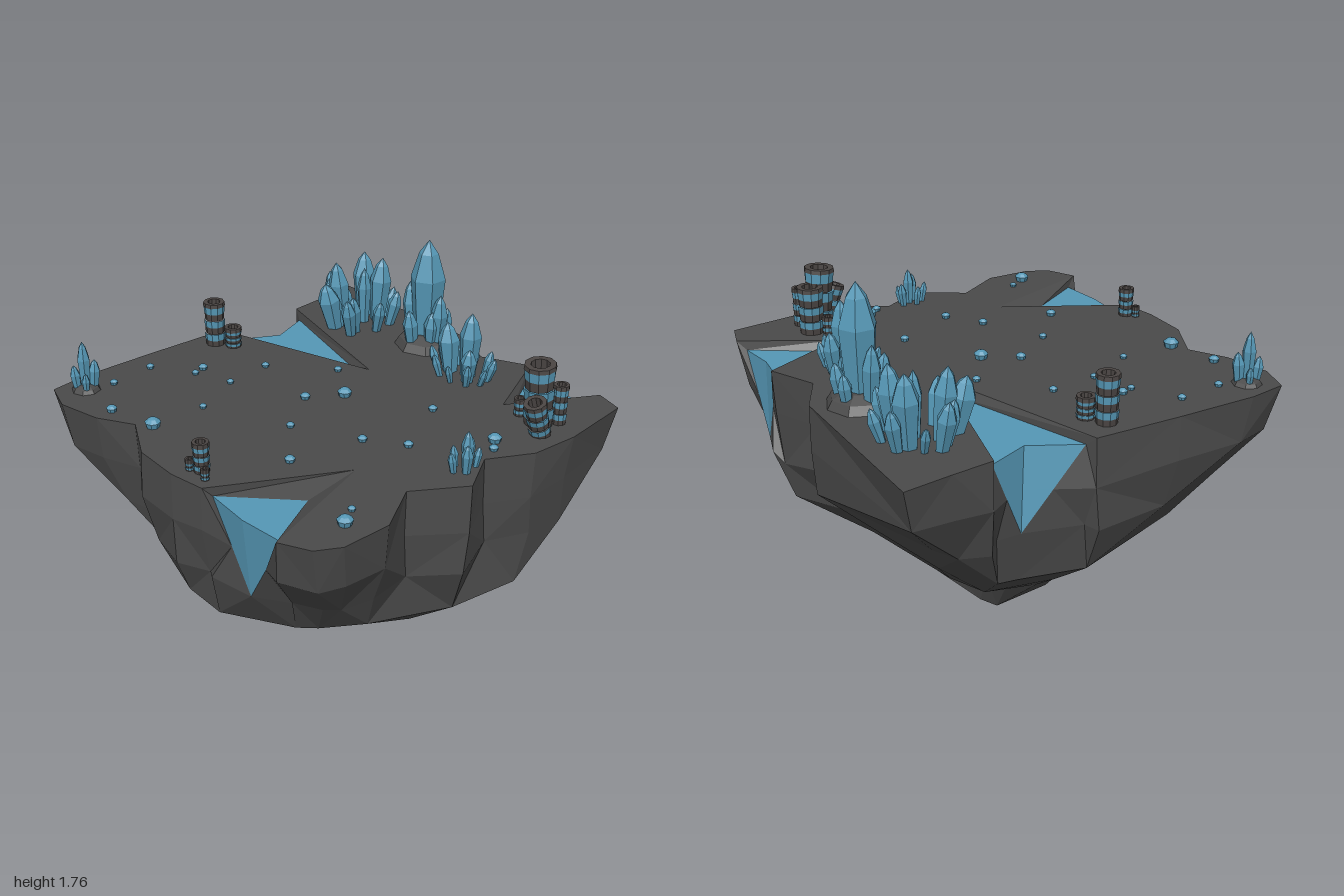
import * as THREE from 'three';

const TOP = 1.2, WATER_Y = 1.155;
const rock = new THREE.MeshStandardMaterial({ color: 0x4a4a4a });
const blue = new THREE.MeshStandardMaterial({ color: 0x5597b5 });
const pipeDark = new THREE.MeshStandardMaterial({ color: 0x4a4543 });
rock.name = 'rock'; blue.name = 'crystalBlue'; pipeDark.name = 'pipeDark';

// Pools: rim corners, rim tip, water edge, inner water tip, foot of the fall
const backPool = { rim: [[.37, -.98], [.8, -.99]], tip: [.565, -.57],
  edge: [[.4, -.945], [.585, -.925], [.77, -.95]], inner: [.565, -.635], foot: [.6, .75, -.93] };
const frontPool = { rim: [[.77, .96], [.25, .94]], tip: [.56, .35],
  edge: [[.73, .9], [.5, .92], [.27, .9]], inner: [.56, .62], foot: [.5, .757, .89] };
const leftPool = { rim: [[-.97, -.08], [-.93, -.55]], tip: [-.12, -.345],
  edge: [[-.92, -.1], [-.8, -.33], [-.88, -.53]], inner: [-.2, -.345], foot: [-.85, .77, -.37] };
const pools = [backPool, frontPool, leftPool];

// Outline of the plateau as x, z; a third value deepens a valley below
const outline = [[-.98, -.98], [-.07, -.98], [.14, -.87, .88], backPool, [.94, -.95], [.985, -.58],
  [.97, -.34], [.86, -.13, .87], [.98, .07], [.83, .31, .88], [.97, .54], [.97, .78], [.91, .89],
  frontPool, [.07, .97], [-.17, .96], [-.4, .84, .88], [-.57, .94], [-.79, .99], [-.95, .94],
  [-.98, .75], [-.98, .35], leftPool, [-.95, -.75]];

// Rock rings downward: y, rx, rz, cx, cz, roundness, columns merged, jitter
const rings = [[.98, 1.005, 1, 0, 0, .2, 1, .015], [.74, .95, .95, 0, 0, .75, 1, .03],
  [.53, .87, .87, 0, 0, 1, 2, .035], [.34, .62, .63, -.02, -.01, 1, 3, .04],
  [.19, .41, .41, -.03, .03, 1, 3, .04], [.07, .27, .29, -.05, -.03, 1, 4, .02],
  [0, 0, 0, -.09, .08, 1, 37, 0]];

let seed = 7;
const rand = () => (seed = (seed * 16807) % 2147483647) / 2147483647 * 2 - 1;
const v = (x, y, z) => new THREE.Vector3(x, y, z);

function add(parent, name, geometry, material) {
  const flat = geometry.index ? geometry.toNonIndexed() : geometry;
  flat.computeVertexNormals();
  const mesh = new THREE.Mesh(flat, material);
  mesh.name = name;
  parent.add(mesh);
  return mesh;
}
const fromTriangles = points => new THREE.BufferGeometry().setFromPoints(points);
const lathe = (profile, sides) =>
  new THREE.LatheGeometry(profile.map(p => new THREE.Vector2(...p)), sides);

function buildIsland(group) {
  // Columns around the edge, from which every ring is made
  const columns = [], capPoints = [];
  for (const o of outline) {
    if (Array.isArray(o)) {
      columns.push({ p: o, y: TOP });
      capPoints.push(o);
    } else {
      columns.push({ p: o.rim[0], y: TOP });
      o.edge.forEach((p, i) => columns.push({ p, y: WATER_Y, pool: o, middle: i === 1 }));
      columns.push({ p: o.rim[1], y: TOP });
      capPoints.push(o.rim[0], o.tip, o.rim[1]);
    }
  }
  const grid = [columns.map(c => ({ pos: v(c.p[0], c.y, c.p[1]), wet: !!c.pool }))];
  rings.forEach(([y, rx, rz, cx, cz, round, step, jitter], k) => {
    const row = columns.map((c, i) => {
      const [x, z, valley = 1] = c.p, len = Math.hypot(x, z);
      const dx = x / len, dz = z / len;
      let r = THREE.MathUtils.lerp(len, 1.02 * valley, round);
      // The back corner on the left bulges
      if ((k === 1 || k === 2) && x > 0) r *= 1 + .2 * Math.max(0, -dx * dz);
      const pos = v(cx + dx * r * rx + rand() * jitter, y + rand() * jitter, cz + dz * r * rz + rand() * jitter);
      if (k === 5) pos.y += .15 * pos.x;
      let wet = false;
      if (c.pool && k === 0) { pos.copy(grid[0][i].pos).lerp(v(...c.pool.foot), .5); wet = true; }
      if (c.middle && k === 1) { pos.set(...c.pool.foot); wet = true; }
      return { pos, wet };
    });
    grid.push(row.map((_, i) => row[i - i % step]));
  });

  const stone = [], falls = [], water = [];
  const face = (...t) => {
    if (new Set(t).size === 3) (t.every(q => q.wet) ? falls : stone).push(...t.map(q => q.pos));
  };
  for (let k = 0; k + 1 < grid.length; k++) {
    for (let i = 0; i < columns.length; i++) {
      const j = (i + 1) % columns.length;
      const a = grid[k][i], b = grid[k][j], c = grid[k + 1][i], d = grid[k + 1][j];
      if (a.wet && d.wet || !(b.wet && c.wet) && (i + k) % 2) { face(a, b, d); face(a, d, c); }
      else { face(a, b, c); face(b, d, c); }
    }
  }
  // Pool surfaces and their sloping banks
  for (const o of pools) {
    const [r1, r2, tip] = [...o.rim, o.tip].map(p => v(p[0], TOP, p[1]));
    const [a, m, b, inner] = [...o.edge, o.inner].map(p => v(p[0], WATER_Y, p[1]));
    water.push(inner, b, m, inner, m, a);
    stone.push(r1, tip, inner, r1, inner, a, tip, r2, b, tip, b, inner);
  }
  add(group, 'rockBody', fromTriangles(stone), rock);
  add(group, 'waterfalls', fromTriangles(falls), blue);
  add(group, 'poolWater', fromTriangles(water), blue);
  const shape = new THREE.Shape(capPoints.map(p => new THREE.Vector2(p[0], -p[1])));
  add(group, 'plateau', new THREE.ShapeGeometry(shape).rotateX(-Math.PI / 2).translate(0, TOP, 0), rock);
}

// Crystal clusters: main crystals as x, z, height, radius, with a ring of small ones around them
const clusters = [
  { name: 'leftCrystals', centre: [-.58, -.72], ring: { n: 8, rx: .19, rz: .19, h: .17 }, main: [
    [-.67, -.81, .34, .062], [-.54, -.82, .34, .058], [-.67, -.61, .33, .055], [-.57, -.72, .3, .038],
    [-.63, -.5, .25, .06], [-.46, -.5, .21, .04], [-.79, -.67, .23, .045]] },
  { name: 'rightCrystals', centre: [.22, -.65], ring: { n: 10, rx: .18, rz: .13, h: .13 }, main: [
    [.12, -.64, .25, .055], [.16, -.77, .22, .042], [.25, -.67, .33, .055], [.31, -.6, .18, .04]] },
  { name: 'tallCrystals', centre: [-.155, -.77], mound: .16, ring: { n: 5, rx: .09, rz: .12, h: .18 }, main: [
    [-.155, -.77, .56, .09], [-.27, -.76, .31, .045], [-.05, -.76, .3, .045]] },
  { name: 'edgeCrystals', centre: [.85, -.01], ring: { n: 5, rx: .05, rz: .08, h: .13 }, main: [
    [.86, -.02, .18, .028]] },
  { name: 'cornerCrystals', centre: [-.85, .82], mound: .07, ring: { n: 4, rx: .05, rz: .05, h: .12 }, main: [
    [-.85, .82, .25, .032]] },
];
function buildClusters(group) {
  for (const { name, centre: [cx, cz], mound, ring, main } of clusters) {
    const cluster = new THREE.Group();
    cluster.name = name;
    group.add(cluster);
    if (mound) {
      const profile = [[mound, 0], [mound * .85, mound * .25], [mound * .5, mound * .42], [0, mound * .45]];
      add(cluster, 'mound', lathe(profile, 8), rock).position.set(cx, TOP, cz);
    }
    const small = Array.from({ length: ring.n }, (_, i) => {
      const angle = (i + .3) / ring.n * Math.PI * 2, h = ring.h * (1 + .3 * rand());
      return [cx + Math.cos(angle) * ring.rx, cz + Math.sin(angle) * ring.rz, h, h * .19];
    });
    // Each crystal leans away from the centre
    for (const [x, z, h, r] of [...main, ...small]) {
      const base = v(cx + (x - cx) * .75, TOP - .01, cz + (z - cz) * .75);
      const axis = v(x, TOP + h, z).sub(base), len = axis.length();
      const profile = [[r * .65, 0], [r, len * .65], [r * .55, len * .88], [0, len]];
      const crystal = add(cluster, 'crystal', lathe(profile, 6), blue);
      crystal.position.copy(base);
      crystal.quaternion.setFromUnitVectors(v(0, 1, 0), axis.normalize());
    }
  }
}

// Small gems scattered over the plateau: x, z, radius
const gems = [[.01, -.07, .035], [-.09, .09, .025], [-.48, .02, .02], [-.21, -.22, .02], [.39, -.28, .022],
  [.78, -.28, .033], [.83, -.22, .022], [.56, .04, .023], [.39, .16, .023], [-.66, .27, .023],
  [-.64, .33, .018], [-.45, .26, .018], [-.84, .46, .02], [-.33, .51, .018], [.08, .32, .02], [.32, .52, .025],
  [.79, .58, .018], [.85, .67, .036], [-.33, .79, .038], [-.58, .85, .026], [-.81, .69, .02]];
function buildGems(group) {
  for (const [x, z, r] of gems) {
    const profile = [[r * .8, 0], [r, r * .7], [r * .55, r * 1.1], [0, r * 1.25]];
    add(group, 'gem', lathe(profile, 8), blue).position.set(x, TOP, z);
  }
}

// Hollow banded pipes
function buildPipe(group, x, z, h, r, leanZ = 0) {
  const pipe = new THREE.Group();
  pipe.name = 'pipe';
  const n = h > .1 ? 6 : 4, s = (h - .02) / n;
  for (let i = 0; i < n; i++) {
    const isBlue = i % 2 === 1, w = isBlue ? r : r * .94;
    add(pipe, isBlue ? 'blueBand' : 'darkBand', lathe([[w * .96, i * s], [w, (i + 1) * s]], 10), isBlue ? blue : pipeDark);
  }
  const mouth = [[r * .9, h - .02], [r * 1.04, h - .02], [r, h], [r * .6, h], [r * .55, h * .6], [0, h * .6]];
  add(pipe, 'rim', lathe(mouth, 10), pipeDark);
  pipe.position.set(x, TOP - .005, z);
  pipe.quaternion.setFromUnitVectors(v(0, 1, 0), v(0, h, leanZ).normalize());
  group.add(pipe);
}
function buildPipes(group) {
  // Back left stand
  buildPipe(group, .79, -.56, .31, .073, .02);
  buildPipe(group, .73, -.62, .24, .065);
  buildPipe(group, .85, -.63, .2, .036);
  buildPipe(group, .865, -.49, .19, .053, .06);
  buildPipe(group, .68, -.555, .09, .03);
  // Right side pair
  buildPipe(group, -.865, .04, .235, .053);
  buildPipe(group, -.78, -.01, .11, .043);
  // Front trio
  buildPipe(group, .135, .855, .15, .038);
  for (const x of [.09, .2]) buildPipe(group, x, .885, .06, .02);
}

export function createModel() {
  seed = 7;
  const group = new THREE.Group();
  group.name = 'floatingIsland';
  buildIsland(group);
  buildClusters(group);
  buildGems(group);
  buildPipes(group);
  return group;
}
